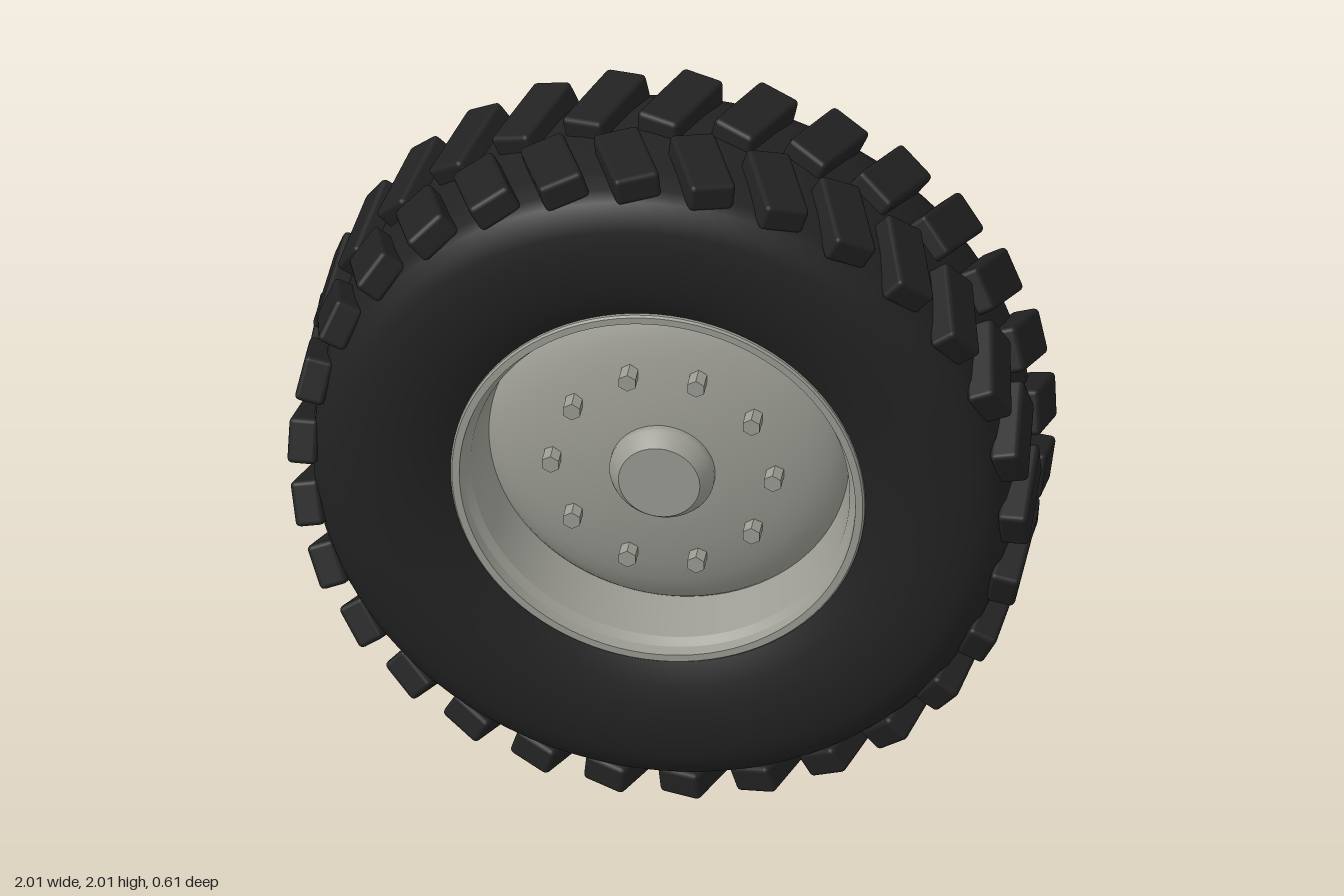
import * as THREE from 'three';
import { toCreasedNormals } from 'three/addons/utils/BufferGeometryUtils.js';
import { RoundedBoxGeometry } from 'three/addons/geometries/RoundedBoxGeometry.js';

const rubber = new THREE.MeshStandardMaterial({ color: 0x222222 });
const metal = new THREE.MeshStandardMaterial({ color: 0x9c9c94 });

// Revolves [radius, z] points around the z axis, keeping sharp edges sharp
function revolve(points, segments, crease = 0.5) {
  const geo = new THREE.LatheGeometry(points.map(([r, z]) => new THREE.Vector2(r, z)), segments);
  geo.rotateX(Math.PI / 2);
  return toCreasedNormals(geo, crease);
}

function add(parent, name, geometry, material) {
  const mesh = new THREE.Mesh(geometry, material);
  mesh.name = name;
  parent.add(mesh);
  return mesh;
}

export function createModel() {
  const root = new THREE.Group();
  root.name = 'wheel';
  const wheel = new THREE.Group();
  wheel.name = 'wheelAssembly';
  wheel.position.y = 1;
  root.add(wheel);

  // Tire carcass: half profile from bead to crown, mirrored front to back
  const half = [
    [0.545, 0.245], [0.575, 0.262], [0.63, 0.285], [0.69, 0.3], [0.75, 0.306],
    [0.8, 0.304], [0.85, 0.295], [0.89, 0.28], [0.92, 0.255], [0.937, 0.22], [0.948, 0.14],
  ];
  const profile = [...half.map(([r, z]) => [r, -z]), [0.952, 0], ...[...half].reverse()];
  add(wheel, 'tire', revolve(profile, 96, 0.8), rubber);

  // Tread: two staggered rows of slanted lugs forming a chevron
  const lugGeo = new RoundedBoxGeometry(0.08, 0.125, 0.25, 2, 0.014);
  const lugCount = 30;
  const tread = new THREE.Group();
  tread.name = 'tread';
  wheel.add(tread);
  for (const side of [1, -1]) {
    for (let i = 0; i < lugCount; i++) {
      const pivot = new THREE.Group();
      pivot.name = 'treadLug';
      pivot.rotation.z = ((i + (side < 0 ? 0.5 : 0)) / lugCount) * Math.PI * 2;
      const lug = add(pivot, 'lugBlock', lugGeo, rubber);
      lug.position.set(0.96, 0, side * 0.14);
      lug.rotation.x = side * 0.39;
      tread.add(pivot);
    }
  }

  // Rim: flat closed back, outer barrel, front lip and stepped inner barrel
  add(wheel, 'rim', revolve([
    [0, -0.268], [0.555, -0.268], [0.56, -0.262], [0.56, 0.262], [0.555, 0.268],
    [0.535, 0.268], [0.53, 0.235], [0.512, 0.215], [0.485, 0.05],
  ], 96), metal);

  // Domed wheel disc
  add(wheel, 'disc', revolve([
    [0.49, 0.055], [0.475, 0.075], [0.44, 0.1], [0.39, 0.122], [0.33, 0.14],
    [0.26, 0.155], [0.2, 0.165], [0.14, 0.172], [0, 0.175],
  ], 96, 0.8), metal);

  // Centre hub cap with chamfered face
  add(wheel, 'hubCap', revolve([
    [0.142, 0.15], [0.142, 0.188], [0.136, 0.2], [0.11, 0.235], [0, 0.235],
  ], 48, 0.4), metal);

  // Ring of hexagonal wheel nuts
  const nutGeo = toCreasedNormals(new THREE.CylinderGeometry(0.026, 0.026, 0.06, 6), 0.3);
  nutGeo.rotateX(Math.PI / 2);
  for (let i = 0; i < 10; i++) {
    const a = (i / 10) * Math.PI * 2;
    add(wheel, 'wheelNut', nutGeo, metal).position.set(0.3 * Math.cos(a), 0.3 * Math.sin(a), 0.165);
  }

  return root;
}
